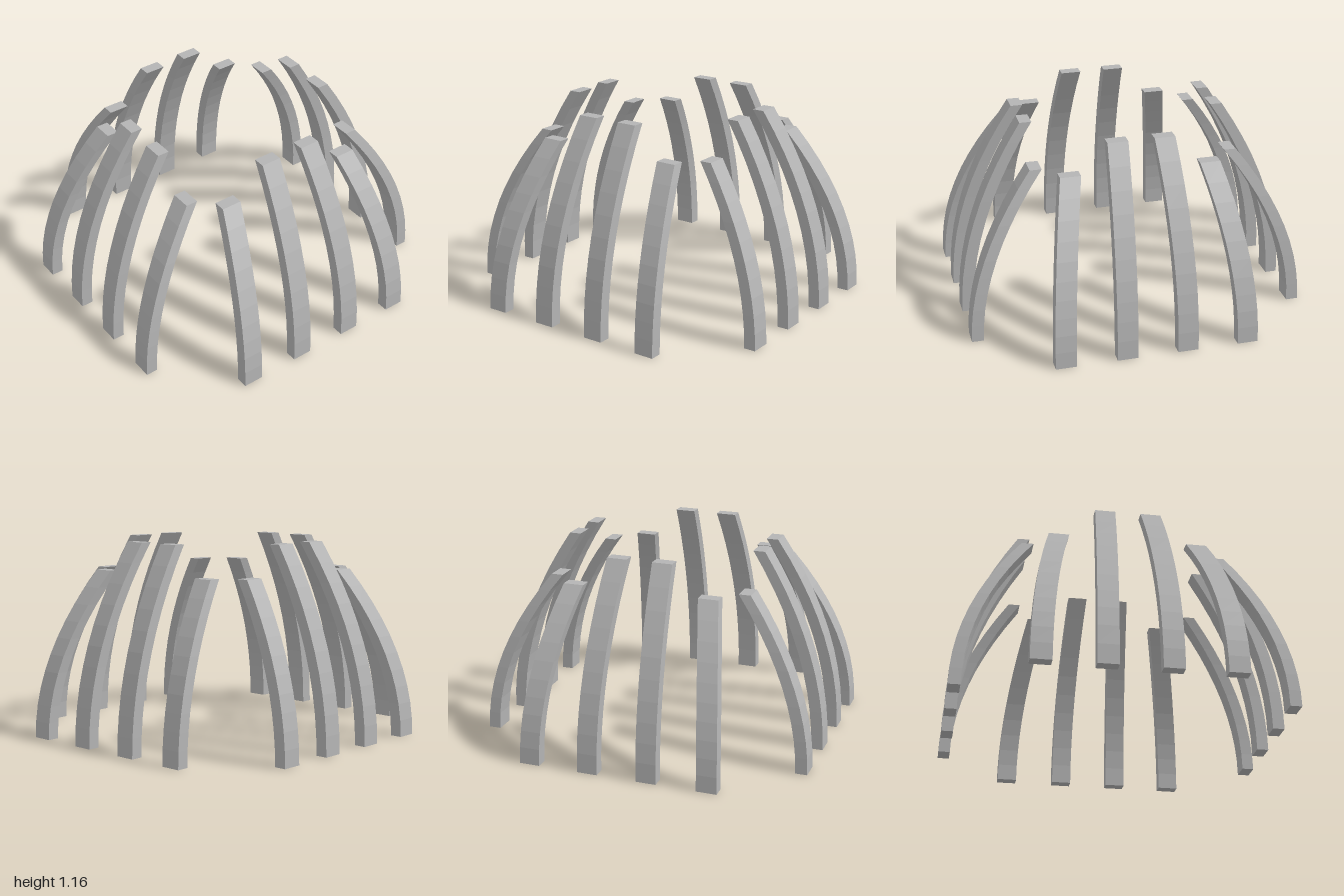
import * as THREE from 'three';

const STEPS = 10;
const WIDTH = 0.12;
const DEPTH = 0.07;

// A square bar that leans inward along a parabola, keeping level ends.
function ribGeometry(height, baseX, topX, baseZ, topZ) {
  const geo = new THREE.BoxGeometry(WIDTH, 1, DEPTH, 1, STEPS, 1);
  geo.translate(0, 0.5, 0);
  const p = geo.attributes.position;
  for (let i = 0; i < p.count; i++) {
    const t = p.getY(i);
    const bend = t * t;
    p.setXYZ(
      i,
      p.getX(i) + THREE.MathUtils.lerp(baseX, topX, bend),
      t * height,
      p.getZ(i) + THREE.MathUtils.lerp(baseZ, topZ, bend)
    );
  }
  geo.computeVertexNormals();
  return geo;
}

export function createModel() {
  const model = new THREE.Group();
  model.name = 'ribCage';
  const stone = new THREE.MeshStandardMaterial({ color: 0xb4b4b4, flatShading: true });
  stone.name = 'grey';

  // Two tall ribs in the middle of each side, two short ones at its ends
  const kinds = [
    { name: 'tallRib', height: 1.163, baseX: 0.178, topX: 0.136 },
    { name: 'shortRib', height: 0.983, baseX: 0.535, topX: 0.407 },
  ];
  const sideNames = ['front', 'left', 'back', 'right'];

  sideNames.forEach((sideName, k) => {
    const side = new THREE.Group();
    side.name = sideName + 'Ribs';
    for (const { name, height, baseX, topX } of kinds) {
      for (const s of [-1, 1]) {
        const rib = new THREE.Mesh(ribGeometry(height, s * baseX, s * topX, 0.965, 0.575), stone);
        rib.name = name;
        side.add(rib);
      }
    }
    side.rotation.y = (k * Math.PI) / 2;
    model.add(side);
  });
  return model;
}
